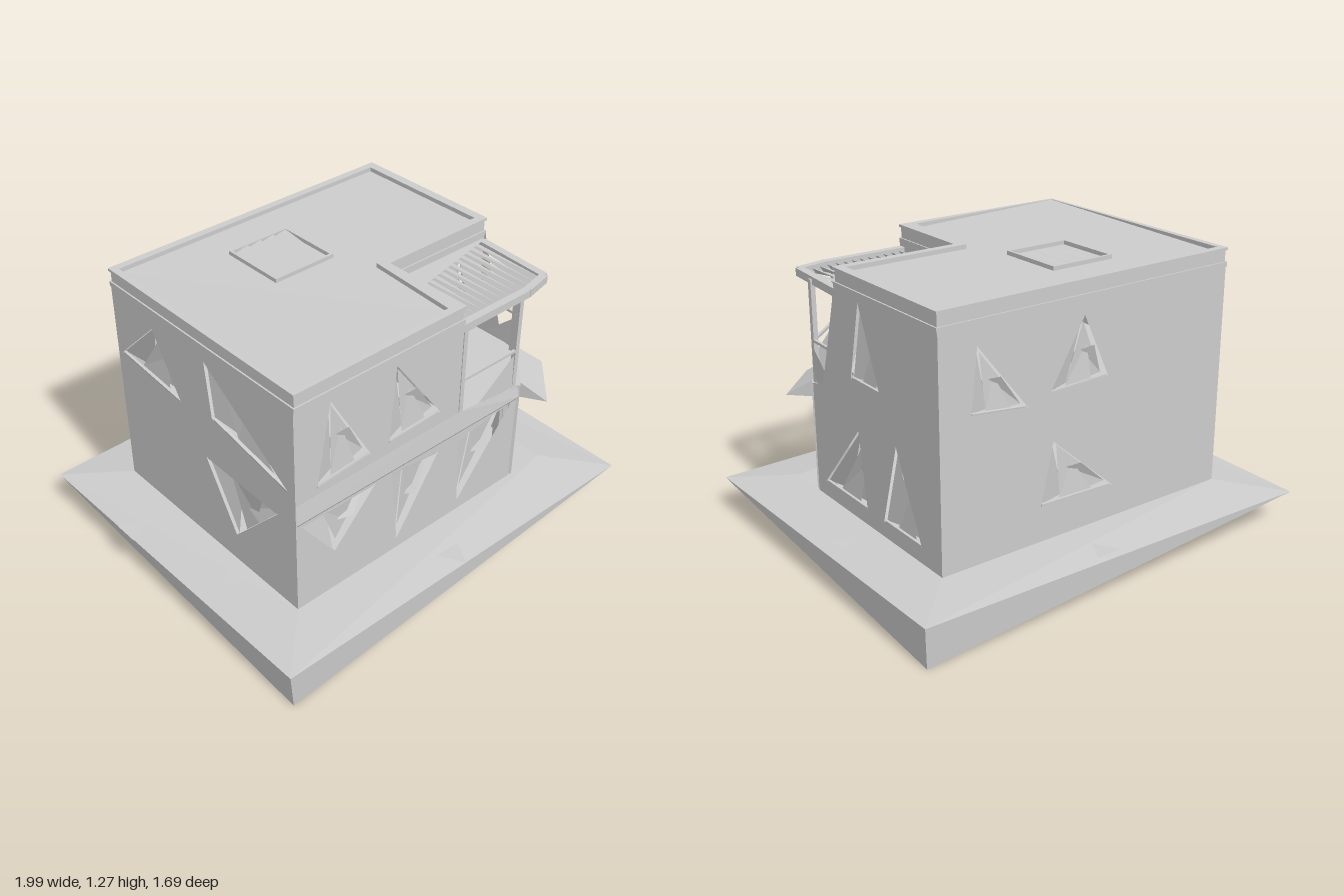
import * as THREE from 'three';

const grey = new THREE.MeshStandardMaterial({ color: 0xcccccc, side: THREE.DoubleSide, flatShading: true });
grey.name = 'plaster grey';

const V = (pts) => pts.map(([a, b]) => new THREE.Vector2(a, b));

function add(parent, name, geometry) {
  const mesh = new THREE.Mesh(geometry, grey);
  mesh.name = name;
  parent.add(mesh);
  return mesh;
}

// Flat faces through a handful of 3D points
function facets(parent, name, points, faces) {
  const pos = faces.flat().flatMap((i) => points[i]);
  const g = new THREE.BufferGeometry();
  g.setAttribute('position', new THREE.Float32BufferAttribute(pos, 3));
  g.computeVertexNormals();
  return add(parent, name, g);
}

// Horizontal slab from an x/z outline, hanging down from its top height
function slab(parent, name, pts, top, thick, hole) {
  const shape = new THREE.Shape(V(pts));
  if (hole) shape.holes.push(new THREE.Path(V(hole)));
  const g = new THREE.ExtrudeGeometry(shape, { depth: thick, bevelEnabled: false });
  g.rotateX(Math.PI / 2);
  add(parent, name, g).position.y = top;
}

function box(parent, name, w, h, d, x, y, z) {
  add(parent, name, new THREE.BoxGeometry(w, h, d)).position.set(x, y, z);
}

// Straight bar between two points
function bar(parent, name, a, b, t) {
  const p = new THREE.Vector3(...a), dir = new THREE.Vector3(...b).sub(p), length = dir.length();
  const m = add(parent, name, new THREE.BoxGeometry(t, t, length));
  m.position.copy(p).addScaledVector(dir, 0.5);
  m.quaternion.setFromUnitVectors(new THREE.Vector3(0, 0, 1), dir.normalize());
}

// Wall with triangular window openings; u runs along the wall, sign flips it
function wall(parent, name, outline, windows, turn, dist, sign) {
  const group = new THREE.Group();
  group.name = name;
  group.rotation.y = turn;
  const flip = (list) => list.map(([u, v]) => [u * sign, v]);
  const shape = new THREE.Shape(V(flip(outline)));
  windows.forEach((w) => shape.holes.push(new THREE.Path(V(flip(w)))));
  add(group, name + 'Panel', new THREE.ShapeGeometry(shape)).position.z = dist;
  windows.forEach((w) => {
    const [a, b, c] = flip(w);
    const mix = (p, q, t, d) => [p[0] + (q[0] - p[0]) * t, p[1] + (q[1] - p[1]) * t, dist - d];
    // Slanted panes set just behind the opening
    facets(group, 'windowPanes', [
      mix(a, b, 0, 0.015), mix(a, b, 1, 0.015), mix(b, c, 0.4, 0.05),
      mix(a, c, 0.12, 0.03), mix(b, c, 0.3, 0.02), mix(a, c, 1, 0.05),
      mix(a, c, 0.5, 0.015), mix(a, b, 0.6, 0.06), mix(b, c, 0.75, 0.02), mix(a, c, 0.3, 0.04),
    ], [[0, 1, 2], [3, 4, 5], [6, 7, 5], [9, 4, 8]]);
    bar(group, 'windowSill', mix(b, c, 0.02, 0.008), mix(b, c, 0.98, 0.008), 0.012);
  });
  parent.add(group);
}

export function createModel() {
  const model = new THREE.Group();
  model.name = 'house';

  // Base with two cut-away lower corners and a raised underside
  facets(model, 'base', [
    [-0.97, 0.18, 0.82], [1, 0.15, 0.82], [1, 0.18, -0.85], [-0.97, 0.15, -0.85],
    [-0.72, 0.19, 0.57], [0.76, 0.19, 0.57], [0.76, 0.19, -0.6], [-0.72, 0.19, -0.6],
    [-0.95, 0, 0.81], [0.99, 0, -0.84],
    [-0.66, 0.01, 0.44], [0.74, 0.02, 0.44], [0.75, 0.04, -0.57], [-0.7, 0.02, -0.57],
  ], [
    [0, 1, 5], [0, 5, 4], [1, 2, 6], [1, 6, 5], [2, 3, 7], [2, 7, 6], [3, 0, 4], [3, 4, 7],
    [4, 5, 6], [4, 6, 7],
    [0, 8, 1], [1, 9, 2], [2, 9, 3], [3, 8, 0],
    [8, 10, 11], [8, 11, 1], [1, 11, 12], [1, 12, 9], [9, 12, 13], [9, 13, 3], [3, 13, 10], [3, 10, 8],
    [10, 13, 12], [10, 12, 11],
  ]);

  // Triangular ground plates: tip x, z and pointing direction
  [[0.115, -0.74, 0, 1], [-0.02, 0.84, 0, 1], [-0.87, -0.4, -1, 0], [-0.87, -0.27, 1, 0], [-0.87, -0.13, -1, 0],
    [-0.87, 0, -1, 0], [-0.87, 0.26, -1, 0], [0.84, -0.13, -1, 0]].forEach(([x, z, dx, dz]) => {
    const bx = x - dx * 0.12, bz = z - dz * 0.11, y = 0.194;
    facets(model, 'groundPlate', [[x, y, z], [bx + dz * 0.062, y, bz + dx * 0.062], [bx - dz * 0.062, y, bz - dx * 0.062]], [[0, 1, 2]]);
  });

  // Outer walls
  wall(model, 'frontWall',
    [[-0.72, 0.19], [0.55, 0.19], [0.55, 0.69], [0.17, 0.74], [0.17, 1.2], [-0.72, 1.2]],
    [[[-0.54, 1.15], [-0.61, 0.77], [-0.33, 0.79]], [[-0.2, 1.15], [-0.23, 0.79], [0.06, 0.8]],
      [[-0.52, 0.39], [-0.69, 0.62], [-0.3, 0.62]], [[-0.17, 0.24], [-0.21, 0.62], [0.06, 0.59]],
      [[0.2, 0.24], [0.18, 0.59], [0.52, 0.63]]], 0, 0.57, 1);
  wall(model, 'leftWall',
    [[-0.6, 0.19], [0.37, 0.19], [0.37, 0.7], [0.28, 0.72], [0.14, 1.2], [-0.6, 1.2]],
    [[[-0.04, 1.16], [0.04, 0.82], [-0.18, 0.82]], [[0, 0.6], [0.3, 0.26], [-0.05, 0.26]],
      [[-0.29, 0.63], [-0.18, 0.26], [-0.46, 0.26]]], Math.PI / 2, 0.755, -1);
  wall(model, 'backWall',
    [[-0.72, 0.19], [0.755, 0.19], [0.755, 1.2], [-0.72, 1.2]],
    [[[0.58, 1.1], [0.61, 0.83], [0.34, 0.8]], [[0.06, 1.12], [0.23, 0.83], [-0.07, 0.84]],
      [[0.21, 0.62], [0.27, 0.35], [-0.11, 0.34]]], Math.PI, 0.6, -1);
  wall(model, 'rightWall',
    [[-0.6, 0.19], [0.57, 0.19], [0.57, 1.2], [-0.6, 1.2]],
    [[[-0.32, 1.11], [-0.57, 0.87], [-0.15, 0.83]], [[0.03, 1.13], [0.06, 0.87], [0.54, 0.78]],
      [[0.18, 0.33], [0, 0.64], [0.46, 0.63]]], -Math.PI / 2, 0.72, 1);

  // Front storey ledge with a sloping top
  facets(model, 'storeyLedge', [[-0.72, 0.74, 0.571], [0.17, 0.74, 0.571], [0.55, 0.69, 0.571],
    [-0.72, 0.65, 0.58], [0.55, 0.64, 0.58], [-0.72, 0.635, 0.571], [0.55, 0.625, 0.571]],
  [[0, 3, 1], [1, 3, 4], [1, 4, 2], [3, 5, 6], [3, 6, 4]]);

  // Upper floor slab, cut off above the corner door
  slab(model, 'upperFloor', [[-0.71, -0.59], [0.755, -0.59], [0.755, 0.37], [0.55, 0.57], [-0.71, 0.565]], 0.7, 0.03);

  // Roof: thin edge plate, inset fascia, flat deck and a tilted front corner
  const deck = [[-0.69, -0.57], [0.72, -0.57], [0.72, 0.1], [0.13, 0.1], [0.1, 0.54]];
  const rim = (o) => [[-0.722 + o, -0.605 + o], [0.762 - o, -0.605 + o], [0.762 - o, 0.137 - o],
    [0.172 - o, 0.137 - o], [0.168 - o, 0.577 - o], [-0.722 + o, 0.577 - o]];
  const opening = [...deck, [-0.708, 0.563]];
  slab(model, 'roofEdge', rim(0), 1.27, 0.012, opening);
  slab(model, 'fascia', rim(0.007), 1.258, 0.05, opening);
  slab(model, 'fasciaMoulding', rim(0), 1.208, 0.022, opening);
  slab(model, 'roofDeck', deck, 1.25, 0.008);
  facets(model, 'roofCorner', [[-0.69, 1.25, -0.57], [0.1, 1.25, 0.54], [-0.715, 1.269, 0.57]], [[0, 2, 1]]);

  // Louvred skylight
  for (const s of [-1, 1]) {
    box(model, 'skylightFrame', 0.31, 0.02, 0.012, -0.105, 1.258, -0.235 + s * 0.15);
    box(model, 'skylightFrame', 0.012, 0.02, 0.31, -0.105 + s * 0.15, 1.258, -0.235);
  }
  for (let i = 0; i < 4; i++) {
    const x = -0.23 + i * 0.07;
    facets(model, 'skylightLouvre', [[x, 1.252, -0.385], [x + 0.06, 1.266, -0.385], [x + 0.03, 1.256, -0.09]], [[0, 2, 1]]);
  }

  // Terrace: inner walls with glazed openings
  wall(model, 'terraceBackWall', [[0.17, 0.7], [0.755, 0.7], [0.755, 1.2], [0.17, 1.2]],
    [[[0.28, 1.12], [0.25, 0.75], [0.48, 0.75]], [[0.6, 1.12], [0.53, 0.8], [0.7, 0.8]]], 0, 0.135, 1);
  wall(model, 'terraceSideWall', [[0.135, 0.7], [0.57, 0.7], [0.57, 1.2], [0.135, 1.2]],
    [[[0.36, 1.12], [0.44, 0.75], [0.24, 0.75]]], Math.PI / 2, 0.17, -1);

  // Terrace parapet across the cut corner, with posts and a handrail
  facets(model, 'parapet', [[0.3, 0.72, 0.565], [0.53, 0.69, 0.565], [0.53, 0.88, 0.56], [0.745, 0.7, 0.37],
    [0.745, 0.82, 0.37], [0.75, 0.72, 0.2], [0.75, 0.87, 0.37]],
  [[0, 1, 2], [1, 3, 4], [1, 4, 2], [3, 5, 6]]);
  const rail = [[0.19, 0.56], [0.53, 0.56], [0.74, 0.37], [0.745, 0.2]];
  for (let i = 0; i < 3; i++) {
    bar(model, 'handrail', [rail[i][0], 0.89, rail[i][1]], [rail[i + 1][0], 0.89, rail[i + 1][1]], 0.012);
  }
  [[0.19, 0.555], [0.525, 0.555], [0.735, 0.37]].forEach(([x, z]) => box(model, 'terracePost', 0.022, 0.46, 0.022, x, 0.93, z));

  // Pergola frame, wedge-shaped cover by the wall and slats
  const frame = [[0.17, 0.55], [0.57, 0.55], [0.71, 0.52], [0.735, 0.14]];
  for (let i = 0; i < 3; i++) {
    bar(model, 'pergolaBeam', [frame[i][0], 1.155, frame[i][1]], [frame[i + 1][0], 1.155, frame[i + 1][1]], 0.035);
  }
  facets(model, 'pergolaCover', [[0.17, 1.175, 0.137], [0.74, 1.175, 0.137], [0.74, 1.175, 0.15], [0.17, 1.175, 0.27]],
    [[0, 3, 2], [0, 2, 1]]);
  for (let i = 0; i < 13; i++) {
    const x = 0.19 + i * 0.041, start = 0.265 - i * 0.009;
    facets(model, 'pergolaSlat', [[x - 0.012, 1.175, start], [x + 0.016, 1.17, start], [x + 0.012, 1.16, 0.53],
      [x - 0.01, 1.13, 0.53]], [[0, 2, 1], [0, 3, 2]]);
  }

  // Corner entrance: jambs, recessed door, leaning panes, lintel
  const entry = new THREE.Group();
  entry.name = 'entrance';
  entry.position.set(0.65, 0, 0.47);
  entry.rotation.y = Math.PI / 4;
  model.add(entry);
  for (const s of [-1, 1]) {
    box(entry, 'doorJamb', 0.03, 0.5, 0.04, s * 0.13, 0.45, -0.01);
    facets(entry, 'sidePane', [[s * 0.12, 0.2, 0], [s * 0.05, 0.2, -0.04], [s * 0.09, 0.63, -0.02]], [[0, 1, 2]]);
  }
  box(entry, 'lintel', 0.29, 0.07, 0.04, 0, 0.665, -0.01);
  box(entry, 'door', 0.24, 0.44, 0.012, 0, 0.42, -0.06);
  bar(entry, 'doorBar', [0, 0.2, -0.03], [0.02, 0.63, -0.03], 0.018);
  // Small sloping canopy
  facets(entry, 'canopy', [[-0.14, 0.71, 0.01], [0.14, 0.71, 0.01], [-0.17, 0.635, 0.13], [0.14, 0.635, 0.13],
    [-0.14, 0.635, 0.01], [0.14, 0.635, 0.01]],
  [[0, 2, 3], [0, 3, 1], [2, 4, 5], [2, 5, 3], [0, 4, 2], [1, 3, 5]]);

  return model;
}
